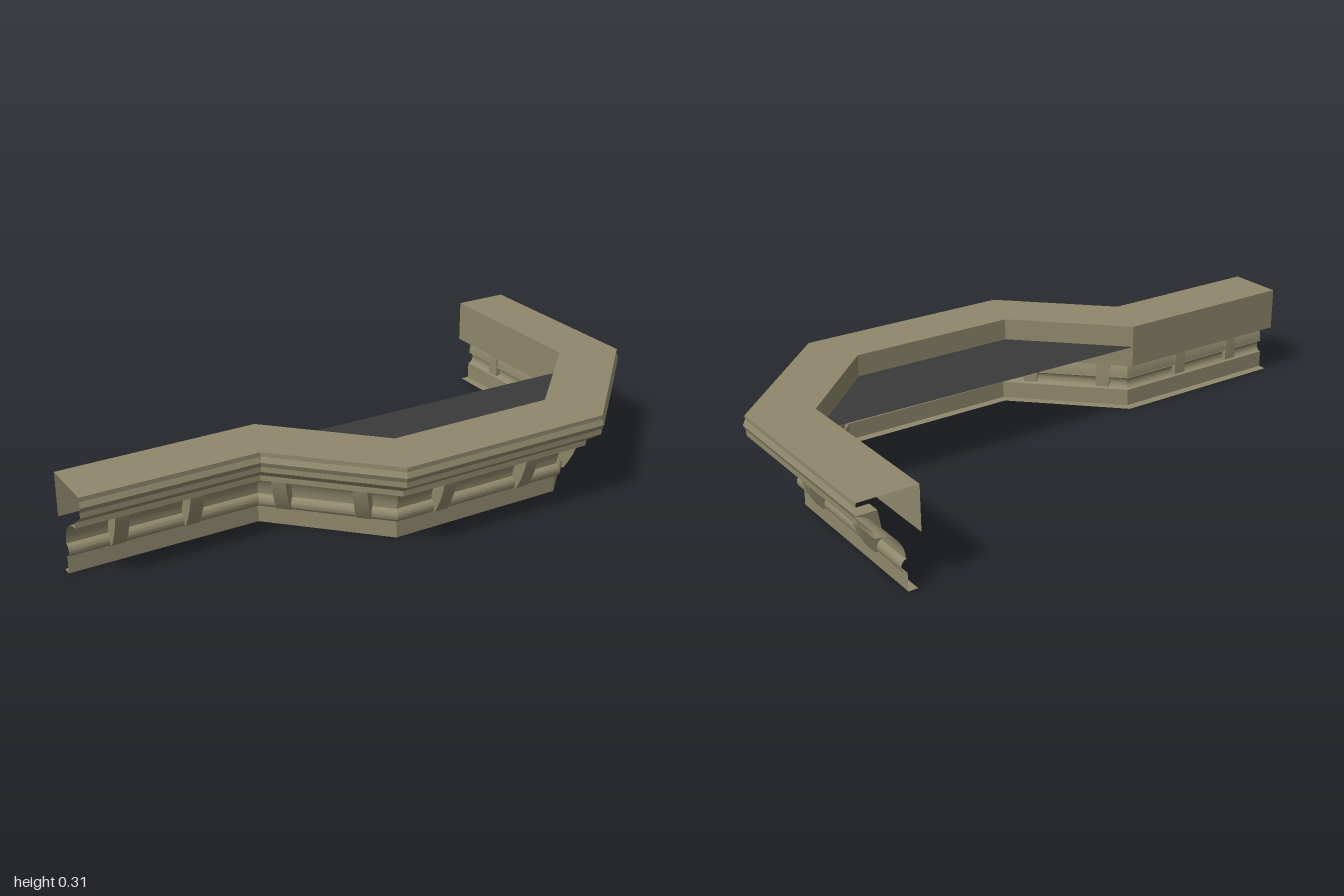
import * as THREE from 'three';
import { mergeGeometries, toCreasedNormals } from 'three/addons/utils/BufferGeometryUtils.js';

// Plan of the outer edge as [x, z], running from the left wing to the right return
const path = [[-1, 0.225], [-0.44, 0.225], [-0.132, 0.533], [0.585, 0.533], [0.993, 0.125], [0.993, -0.54]]
  .map(([x, z]) => new THREE.Vector2(x, z));

const outward = (i) => {
  const d = path[i + 1].clone().sub(path[i]).normalize();
  return new THREE.Vector2(-d.y, d.x);
};

// Plan point i moved inward by e along its mitre
function mitre(i, e) {
  const a = outward(Math.max(i - 1, 0));
  const b = outward(Math.min(i, path.length - 2));
  const m = a.clone().add(b).divideScalar(1 + a.dot(b));
  return path[i].clone().addScaledVector(m, -e);
}

// Moulding section as [inset, height], from the inner wall over the top to the foot
function mouldingProfile() {
  const p = [[0.187, 0.165], [0.187, 0.307], [0, 0.307], [0, 0.293], [-0.007, 0.276],
    [0, 0.26], [0, 0.243], [0.047, 0.208], [0.047, 0.19]];
  for (let k = 0; k <= 10; k++) { // cove
    const a = (1 - k / 10) * Math.PI / 2;
    p.push([0.06 + 0.077 * Math.cos(a), 0.1 + 0.088 * Math.sin(a)]);
  }
  for (let k = 0; k <= 12; k++) { // roll
    const a = (0.5 - k / 12) * Math.PI;
    p.push([0.14 - 0.018 * Math.cos(a), 0.0785 + 0.0215 * Math.sin(a)]);
  }
  p.push([0.14, 0], [0.17, 0]);
  return p;
}

// One straight run of moulding between two mitres
function runGeometry(i, profile) {
  const pos = [];
  const at = (k, [e, y]) => {
    const v = mitre(k, e);
    return [v.x, y, v.y];
  };
  for (let j = 0; j < profile.length - 1; j++) {
    const a = at(i, profile[j]), b = at(i + 1, profile[j]);
    const c = at(i, profile[j + 1]), d = at(i + 1, profile[j + 1]);
    pos.push(...a, ...c, ...b, ...b, ...c, ...d);
  }
  const g = new THREE.BufferGeometry();
  g.setAttribute('position', new THREE.Float32BufferAttribute(pos, 3));
  return toCreasedNormals(g, 0.33);
}

// Curved bracket: local x points outward, thickness runs along the moulding
function bracketGeometry() {
  const width = 0.045;
  const s = new THREE.Shape();
  s.moveTo(-0.14, 0.065);
  s.lineTo(-0.117, 0.065);
  s.quadraticCurveTo(-0.08, 0.12, -0.067, 0.191);
  s.lineTo(-0.13, 0.191);
  s.lineTo(-0.14, 0.13);
  const g = new THREE.ExtrudeGeometry(s, { depth: width, bevelEnabled: false, curveSegments: 8 });
  g.translate(0, 0, -width / 2);
  return toCreasedNormals(g, 0.5);
}

export function createModel() {
  const model = new THREE.Group();
  model.name = 'bayCornice';
  const stone = new THREE.MeshStandardMaterial({ color: 0x8f886c, side: THREE.DoubleSide });
  stone.name = 'stone';
  const roofing = new THREE.MeshStandardMaterial({ color: 0x3a3a3a, side: THREE.DoubleSide });
  roofing.name = 'darkRoofing';

  // Mitred moulding
  const profile = mouldingProfile();
  const runs = [];
  for (let i = 0; i < path.length - 1; i++) runs.push(runGeometry(i, profile));
  const moulding = new THREE.Mesh(mergeGeometries(runs), stone);
  moulding.name = 'moulding';
  model.add(moulding);

  // Brackets: distances along each run as fractions
  const spots = [[0.268, 0.688], [0.07, 0.645], [0.283, 0.71], [0.22, 0.64], [0.31, 0.768]];
  const bracketGeo = bracketGeometry();
  const brackets = new THREE.Group();
  brackets.name = 'brackets';
  spots.forEach((list, i) => {
    const n = outward(i);
    for (const t of list) {
      const p = path[i].clone().lerp(path[i + 1], t);
      const bracket = new THREE.Mesh(bracketGeo, stone);
      bracket.name = 'bracket';
      bracket.position.set(p.x, 0, p.y);
      bracket.rotation.y = Math.atan2(-n.y, n.x);
      brackets.add(bracket);
    }
  });
  model.add(brackets);

  // Flat roof panel inside the bay
  const roofShape = new THREE.Shape([1, 2, 3, 4].map((i) => {
    const v = mitre(i, 0.187);
    return new THREE.Vector2(v.x, -v.y);
  }));
  const roof = new THREE.Mesh(new THREE.ShapeGeometry(roofShape).rotateX(-Math.PI / 2), roofing);
  roof.name = 'bayRoof';
  roof.position.y = 0.235;
  model.add(roof);

  return model;
}
